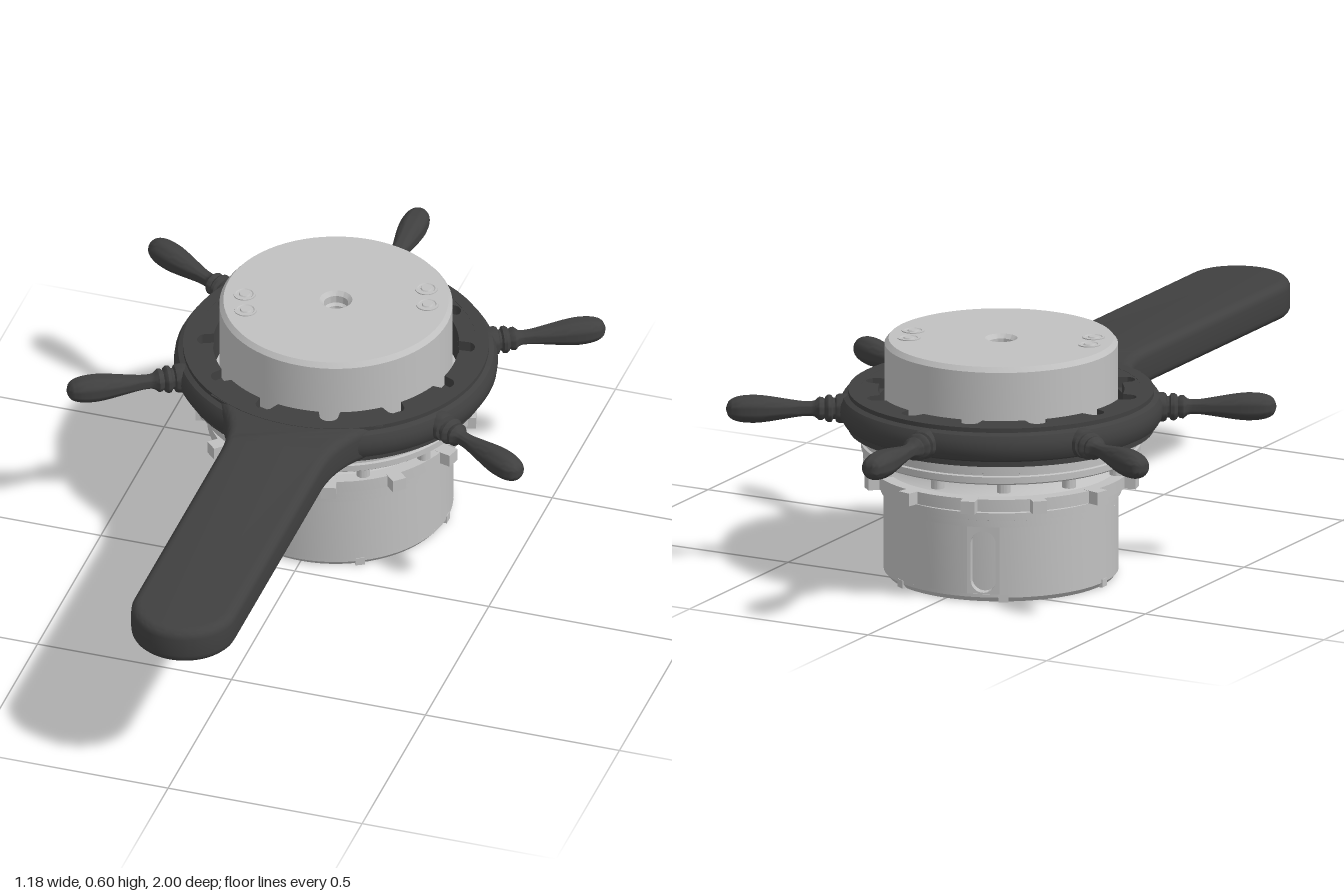
import * as THREE from 'three';
import { toCreasedNormals } from 'three/addons/utils/BufferGeometryUtils.js';

const SEG = 72;
const rad = THREE.MathUtils.degToRad;

export function createModel() {
  const metal = new THREE.MeshStandardMaterial({ color: 0xc0c0c0 });
  metal.name = 'light grey metal';
  const dark = new THREE.MeshStandardMaterial({ color: 0x404040 });
  dark.name = 'dark grey plastic';

  const root = new THREE.Group();
  root.name = 'handwheelAssembly';
  // everything is built around the drum axis
  const axis = new THREE.Group();
  axis.name = 'drumAxis';
  axis.position.z = -0.325;
  root.add(axis);

  const add = (name, geo, mat, parent = axis) => {
    const mesh = new THREE.Mesh(geo, mat);
    mesh.name = name;
    parent.add(mesh);
    return mesh;
  };
  const lathe = (pts, seg = SEG, start = 0, length = Math.PI * 2, crease = 0.45) =>
    toCreasedNormals(
      new THREE.LatheGeometry(pts.map(([r, y]) => new THREE.Vector2(r, y)), seg, start, length), crease);
  // repeats a part around the axis
  const around = (name, count, offset, build) => {
    for (let i = 0; i < count; i++) {
      const g = new THREE.Group();
      g.name = name;
      g.rotation.y = rad(offset + (i * 360) / count);
      axis.add(g);
      build(g);
    }
  };

  // lower drum: chamfered foot with a countersunk bore
  add('drumFoot', lathe([[0.022, 0.025], [0.022, 0.008], [0.03, 0.008], [0.04, 0],
    [0.278, 0], [0.288, 0.012], [0.288, 0.02]]), metal);
  around('footKey', 6, 30, (g) => {
    add('footKeyBlock', new THREE.BoxGeometry(0.024, 0.02, 0.02), metal, g).position.set(0, 0.0105, 0.2795);
  });

  // lower drum wall, open at one sector for the slotted panel
  const slotAngle = rad(200), half = rad(8);
  add('drumWall', lathe([[0.288, 0.02], [0.288, 0.19]], SEG, slotAngle + half, Math.PI * 2 - 2 * half), metal);
  add('drumCore', lathe([[0.262, 0.02], [0.262, 0.19]]), metal);
  const w = 0.288 * Math.sin(half);
  const panel = new THREE.Shape([[-w, 0.02], [w, 0.02], [w, 0.19], [-w, 0.19]].map((p) => new THREE.Vector2(...p)));
  const slot = new THREE.Path();
  slot.absarc(0, 0.148, 0.031, 0, Math.PI, false);
  slot.absarc(0, 0.054, 0.031, Math.PI, Math.PI * 2, false);
  slot.closePath();
  panel.holes.push(slot);
  const panelGeo = new THREE.ExtrudeGeometry(panel, { depth: 0.025, bevelEnabled: false, curveSegments: 10 });
  panelGeo.translate(0, 0, 0.288 * Math.cos(half) - 0.025);
  add('slottedPanel', toCreasedNormals(panelGeo, 0.5), metal).rotation.y = slotAngle;

  // lip, index ring and flared collar
  add('drumLip', lathe([[0.288, 0.19], [0.288, 0.207], [0.295, 0.209], [0.295, 0.228], [0.29, 0.23], [0.29, 0.238]]), metal);
  add('indexRing', lathe([[0.28, 0.237], [0.316, 0.237], [0.316, 0.268], [0.283, 0.268],
    [0.264, 0.278], [0.253, 0.292], [0.25, 0.32]]), metal);
  around('indexLug', 12, 15, (g) => {
    add('lugBlock', new THREE.BoxGeometry(0.036, 0.032, 0.046), metal, g).position.set(0, 0.2525, 0.321);
  });

  // flange with bolts hanging below it
  add('flange', lathe([[0.24, 0.312], [0.338, 0.312], [0.343, 0.316], [0.343, 0.332], [0.336, 0.334],
    [0.336, 0.339], [0.343, 0.341], [0.343, 0.362], [0.34, 0.366], [0.28, 0.366]]), metal);
  around('flangeBolt', 12, 0, (g) => {
    add('boltHead', toCreasedNormals(new THREE.CylinderGeometry(0.017, 0.017, 0.024, 16), 0.6), metal, g)
      .position.set(0, 0.302, 0.322);
  });

  // upper drum with chamfered rim and central bore
  add('upperDrum', lathe([[0.286, 0.36], [0.286, 0.582], [0.276, 0.594], [0.04, 0.594],
    [0.03, 0.584], [0.03, 0.565], [0.022, 0.56], [0.022, 0.025]]), metal);

  // two pairs of socket screws in the top
  const screwGeo = lathe([[0.028, 0], [0.028, 0.003], [0.022, 0.003], [0.02, 0.001], [0.014, 0.001],
    [0.012, 0.004], [0, 0.004]], 24);
  for (const s of [1, -1]) {
    for (const [x, z] of [[0.196, -0.113], [0.22, -0.048]]) {
      add('topScrew', screwGeo, metal).position.set(s * x, 0.5935, s * z);
    }
  }

  // wheel rim with a rounded outer bead and an inner ledge
  add('wheelRim', lathe([[0.302, 0.367], [0.375, 0.367], [0.375, 0.38], [0.387, 0.386], [0.395, 0.4],
    [0.397, 0.417], [0.395, 0.434], [0.387, 0.448], [0.375, 0.454], [0.375, 0.465], [0.345, 0.465],
    [0.345, 0.438], [0.302, 0.438], [0.302, 0.367]]), dark);

  // scalloped inner plate of the wheel
  const plate = new THREE.Shape();
  plate.absarc(0, 0, 0.349, 0, Math.PI * 2, false);
  const scallops = [];
  for (let i = 0; i < 288; i++) {
    const a = (i / 288) * Math.PI * 2;
    const d = (((i * 1.25) % 30) - 15) * (Math.PI / 180);
    const q = 0.025 ** 2 - (0.316 * Math.sin(d)) ** 2;
    const r = q > 0 ? Math.max(0.302, 0.316 * Math.cos(d) + Math.sqrt(q)) : 0.302;
    scallops.push(new THREE.Vector2(r * Math.cos(a), r * Math.sin(a)));
  }
  plate.holes.push(new THREE.Path(scallops));
  const plateGeo = new THREE.ExtrudeGeometry(plate, { depth: 0.028, bevelEnabled: false, curveSegments: 36 });
  plateGeo.rotateX(Math.PI / 2).translate(0, 0.4645, 0);
  add('scallopedPlate', toCreasedNormals(plateGeo, 0.5), dark);

  // five turned handles
  const profile = new THREE.SplineCurve([[0.018, 0.465], [0.019, 0.49], [0.025, 0.53], [0.032, 0.575],
    [0.0345, 0.61], [0.031, 0.645], [0.02, 0.667], [0, 0.675]].map((p) => new THREE.Vector2(...p)));
  const handlePts = [[0.036, 0.375], [0.036, 0.398], [0.033, 0.404], [0.026, 0.407], [0.026, 0.412],
    [0.033, 0.416], [0.034, 0.424], [0.03, 0.43], [0.024, 0.433], [0.028, 0.438], [0.029, 0.446],
    [0.024, 0.452], [0.02, 0.457],
    ...profile.getPoints(24).map((p) => [Math.max(p.x, 0), p.y])];
  const handleGeo = lathe(handlePts, 28, 0, Math.PI * 2, 0.7).rotateX(-Math.PI / 2);
  for (let k = -2; k <= 2; k++) {
    const handle = add('handle', handleGeo, dark);
    handle.position.y = 0.417;
    handle.rotation.y = rad(60 * k);
  }

  // long rounded paddle blending into the front of the rim
  const p = new THREE.Shape();
  p.moveTo(0.235, 0.275);
  p.bezierCurveTo(0.16, 0.36, 0.131, 0.42, 0.131, 0.52);
  p.lineTo(0.131, 1.194);
  p.absarc(0, 1.194, 0.131, 0, Math.PI, false);
  p.lineTo(-0.131, 0.52);
  p.bezierCurveTo(-0.131, 0.42, -0.16, 0.36, -0.235, 0.275);
  p.quadraticCurveTo(0, 0.4, 0.235, 0.275);
  const b = 0.024;
  const paddleGeo = new THREE.ExtrudeGeometry(p, {
    depth: 0.094 - 2 * b, bevelThickness: b, bevelSize: b, bevelOffset: -b, bevelSegments: 5, curveSegments: 20,
  });
  paddleGeo.rotateX(Math.PI / 2).translate(0, 0.464 - b, 0);
  add('paddle', toCreasedNormals(paddleGeo, 0.6), dark);

  return root;
}
